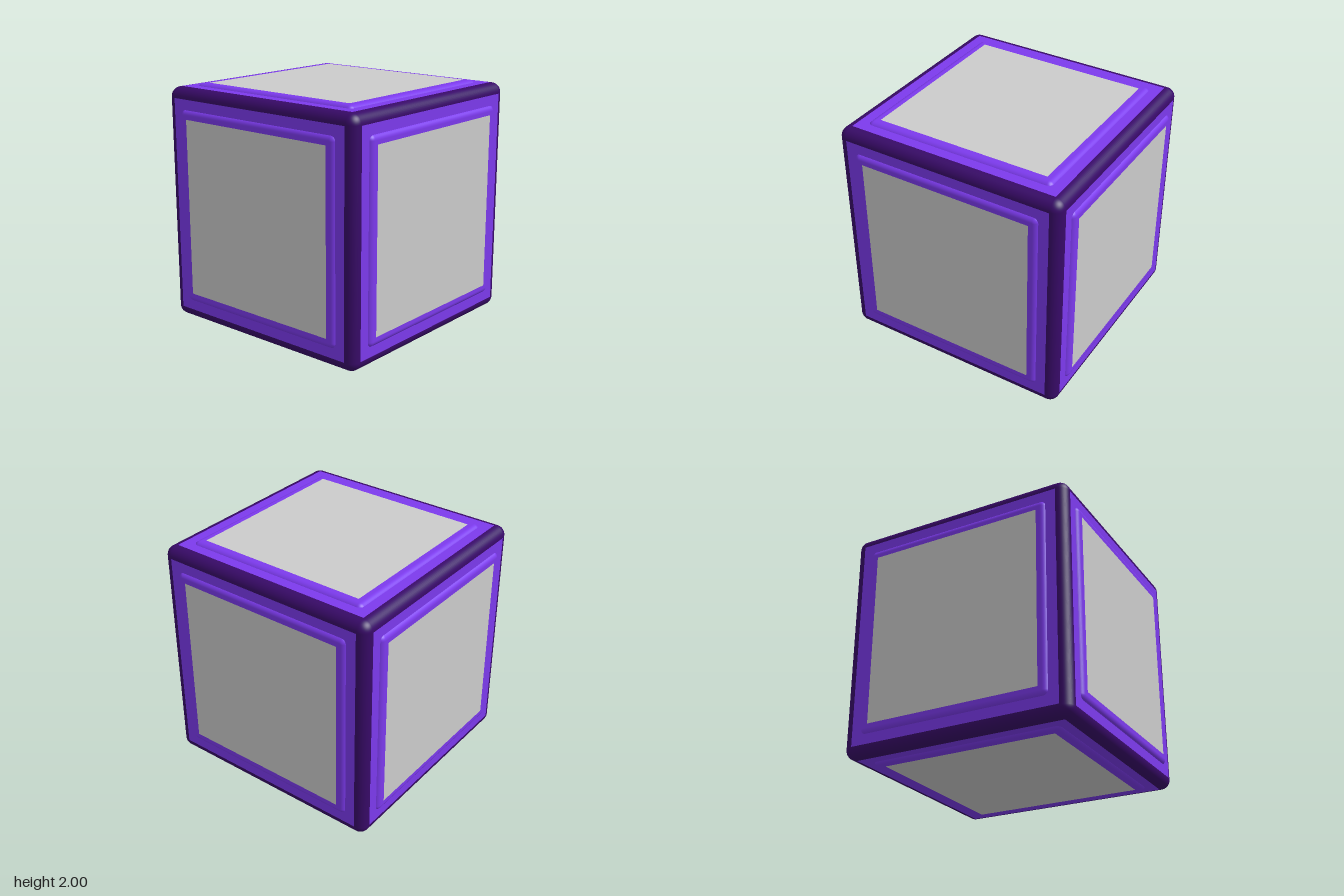
import * as THREE from 'three';
import { RoundedBoxGeometry } from 'three/addons/geometries/RoundedBoxGeometry.js';

const darkPurple = new THREE.MeshStandardMaterial({ color: 0x380a68 });
const purple = new THREE.MeshStandardMaterial({ color: 0x7c3aed });
const grey = new THREE.MeshStandardMaterial({ color: 0xcccccc });

function addMesh(parent, name, geometry, material, z = 0) {
  const mesh = new THREE.Mesh(geometry, material);
  mesh.name = name;
  mesh.position.z = z;
  parent.add(mesh);
  return mesh;
}

// One side of the cube, built facing +z from the cube's centre
function createSide(name) {
  const side = new THREE.Group();
  side.name = name;
  // flat border between the dark edges and the raised panel
  addMesh(side, 'border', new THREE.PlaneGeometry(1.78, 1.78), purple, 0.977);
  // raised panel with rounded rim, partly sunk into the body
  addMesh(side, 'raisedPanel', new RoundedBoxGeometry(1.63, 1.63, 0.12, 6, 0.05), purple, 0.938);
  // grey inset covering the middle of the panel
  addMesh(side, 'inset', new THREE.PlaneGeometry(1.47, 1.47), grey, 1);
  return side;
}

export function createModel() {
  const model = new THREE.Group();
  model.name = 'panelledCube';

  const cube = new THREE.Group();
  cube.name = 'cube';
  cube.position.y = 1;
  model.add(cube);

  // dark body with rounded edges
  addMesh(cube, 'body', new RoundedBoxGeometry(1.95, 1.95, 1.95, 6, 0.08), darkPurple);

  // the same side on all six faces
  const q = Math.PI / 2;
  const sides = [
    ['frontSide', 0, 0], ['leftSide', 0, q], ['backSide', 0, 2 * q],
    ['rightSide', 0, -q], ['topSide', -q, 0], ['bottomSide', q, 0],
  ];
  for (const [name, rx, ry] of sides) {
    const side = createSide(name);
    side.rotation.set(rx, ry, 0);
    cube.add(side);
  }
  return model;
}
